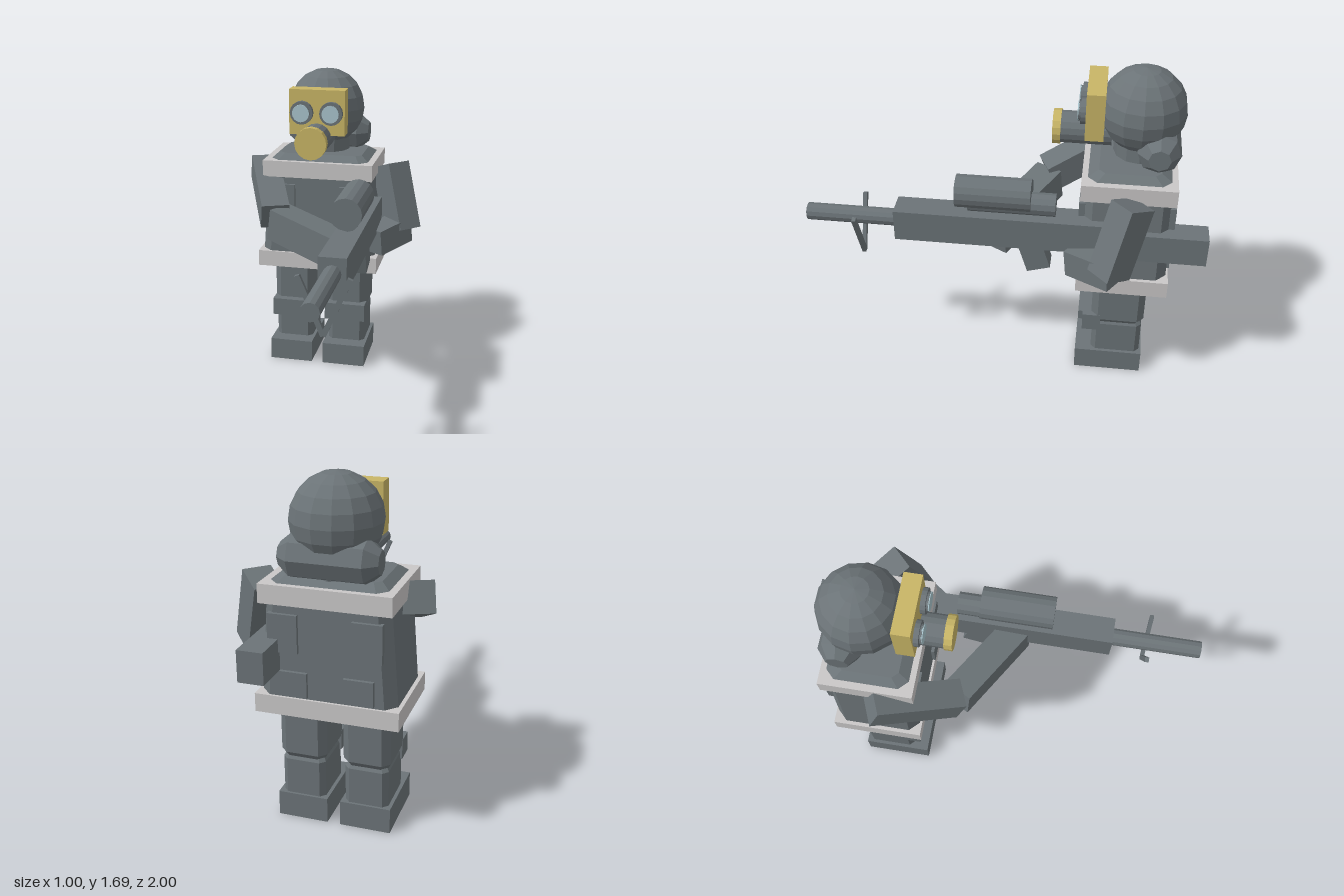
import * as THREE from 'three';
import { ConvexGeometry } from 'three/addons/geometries/ConvexGeometry.js';

const material = (name, color) => {
  const m = new THREE.MeshStandardMaterial({ color });
  m.name = name;
  return m;
};

export function createModel() {
  const model = new THREE.Group();
  const grey = material('slate grey', 0x6b7377);
  const gold = material('mask gold', 0xc8b566);
  const pale = material('pale trim', 0xc9c7c7);
  const glass = material('lens blue', 0xa9c4cc);
  const CX = -0.047; // body centre line
  const CZ = -0.6;

  // Adds a faceted mesh
  function add(name, geometry, mat, x = 0, y = 0, z = 0) {
    const g = geometry.index ? geometry.toNonIndexed() : geometry;
    g.computeVertexNormals();
    const mesh = new THREE.Mesh(g, mat);
    mesh.name = name;
    mesh.position.set(x, y, z);
    model.add(mesh);
    return mesh;
  }

  // Box given by its limits on each axis
  function box(name, mat, [x0, x1], [y0, y1], [z0, z1]) {
    return add(name, new THREE.BoxGeometry(x1 - x0, y1 - y0, z1 - z0), mat,
      (x0 + x1) / 2, (y0 + y1) / 2, (z0 + z1) / 2);
  }

  // Square bar from one point to another
  function bar(name, mat, from, to, w, h) {
    const a = new THREE.Vector3(...from), b = new THREE.Vector3(...to);
    const c = a.clone().add(b).multiplyScalar(0.5);
    const mesh = add(name, new THREE.BoxGeometry(w, h, a.distanceTo(b)), mat, c.x, c.y, c.z);
    mesh.lookAt(b);
    return mesh;
  }

  // Cylinder along z
  function tube(name, mat, x, y, z0, z1, r, sides = 16) {
    const g = new THREE.CylinderGeometry(r, r, z1 - z0, sides).rotateX(Math.PI / 2);
    return add(name, g, mat, x, y, (z0 + z1) / 2);
  }

  // Block with cut corners; each ring is [y, half width, half depth, corner cut]
  function block(name, mat, x, z, rings) {
    const points = [];
    for (const [y, w, d, c] of rings)
      for (const sx of [-1, 1])
        for (const sz of [-1, 1])
          points.push(new THREE.Vector3(sx * w, y, sz * (d - c)), new THREE.Vector3(sx * (w - c), y, sz * d));
    return add(name, new ConvexGeometry(points), mat, x, 0, z);
  }

  // Torso, trim bands and neck
  block('torso', grey, CX, CZ, [
    [0.62, 0.325, 0.218, 0.05], [1.2, 0.285, 0.218, 0.05], [1.24, 0.23, 0.15, 0.03],
  ]);
  box('belt', pale, [CX - 0.34, CX + 0.34], [0.59, 0.68], [-0.83, -0.37]);
  box('collarBand', pale, [CX - 0.307, CX + 0.307], [1.12, 1.21], [-0.83, -0.37]);
  add('neck', new THREE.CylinderGeometry(0.13, 0.13, 0.1, 12), grey, CX, 1.27, -0.64);

  // Pouches on the chest and back, and legs
  for (const s of [-1, 1]) {
    for (const z of [-0.38, -0.82]) {
      const x = CX + s * 0.195, lx = CX + s * 0.155;
      box('upperPouch', grey, [x - 0.07, x + 0.07], [0.9, 1.08], [z - 0.015, z + 0.015]);
      box('lowerPouch', grey, [lx - 0.07, lx + 0.07], [0.69, 0.81], [z - 0.015, z + 0.015]);
    }
    const x = CX + s * 0.155;
    block('thigh', grey, x, -0.598, [
      [0.32, 0.1, 0.122, 0.03], [0.345, 0.115, 0.138, 0.035],
      [0.56, 0.115, 0.138, 0.035], [0.595, 0.09, 0.113, 0.025],
    ]);
    block('shin', grey, x, -0.598, [
      [0.1, 0.106, 0.13, 0.025], [0.305, 0.106, 0.13, 0.025], [0.335, 0.09, 0.11, 0.02],
    ]);
    box('kneePad', grey, [x - 0.116, x + 0.116], [0.27, 0.37], [-0.51, -0.415]);
    box('foot', grey, [x - 0.123, x + 0.123], [0, 0.125], [-0.74, -0.385]);
  }

  // Head and rolled hood behind it
  add('head', new THREE.SphereGeometry(0.213, 14, 10), grey, CX, 1.477, -0.64);
  const hood = [[0, -0.23], [0.055, -0.23], [0.105, -0.17], [0.105, 0.17], [0.055, 0.23], [0, 0.23]];
  const roll = new THREE.LatheGeometry(hood.map(p => new THREE.Vector2(...p)), 8);
  add('hood', roll.rotateZ(Math.PI / 2), grey, CX, 1.325, -0.73);

  // Mask with goggles and filter
  box('maskPlate', gold, [CX - 0.153, CX + 0.153], [1.365, 1.61], [-0.46, -0.37]);
  for (const s of [-1, 1]) {
    tube('goggleRim', grey, CX + s * 0.081, 1.487, -0.38, -0.345, 0.063);
    tube('goggleBarrel', grey, CX + s * 0.081, 1.487, -0.35, -0.334, 0.047);
    tube('lens', glass, CX + s * 0.081, 1.487, -0.338, -0.33, 0.047);
  }
  tube('filter', grey, CX, 1.35, -0.5, -0.25, 0.08);
  tube('filterCap', gold, CX, 1.35, -0.25, -0.21, 0.087);

  // Arms
  bar('rightUpperArm', grey, [-0.4, 1.13, -0.57], [-0.235, 0.95, -0.18], 0.15, 0.15);
  bar('rightForearm', grey, [-0.22, 0.92, -0.19], [0.22, 0.845, 0.06], 0.15, 0.17);
  bar('leftUpperArm', grey, [0.325, 1.165, -0.62], [0.415, 0.81, -0.53], 0.14, 0.16);
  bar('leftForearm', grey, [0.41, 0.82, -0.56], [0.27, 0.79, -0.35], 0.14, 0.14);

  // Rifle
  const RX = 0.23;
  box('rifleBody', grey, [RX - 0.068, RX + 0.068], [0.838, 1.005], [-0.5, 0.545]);
  box('rifleStock', grey, [RX - 0.062, RX + 0.062], [0.81, 0.962], [-1, -0.45]);
  tube('barrel', grey, RX, 0.925, 0.5, 1, 0.044, 12);
  tube('scope', grey, RX, 1.115, -0.135, 0.235, 0.082);
  tube('scopeMount', grey, RX, 1.067, -0.255, 0.175, 0.057, 12);
  bar('grip', grey, [RX, 0.88, -0.125], [RX, 0.7, -0.18], 0.1, 0.12);

  // Bipod legs meeting in a point
  for (const s of [-1, 1])
    bar('bipodLeg', grey, [RX + s * 0.12, 0.98, 0.73], [RX, 0.7, 0.73], 0.02, 0.025);

  return model;
}
